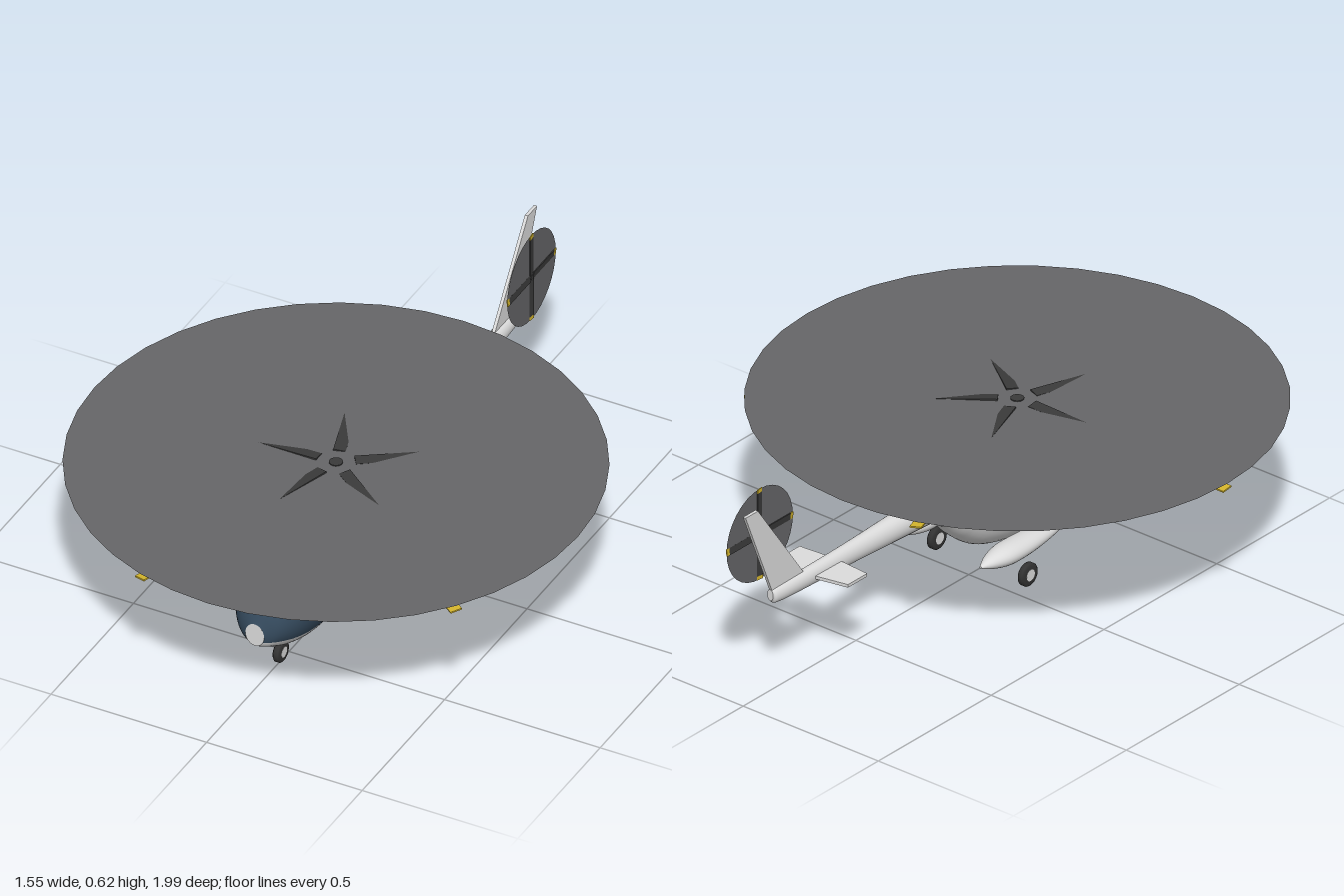
import * as THREE from 'three';
import { ParametricGeometry } from 'three/addons/geometries/ParametricGeometry.js';

const mat = (name, color, side = THREE.FrontSide) => {
  const m = new THREE.MeshStandardMaterial({ color, side });
  m.name = name;
  return m;
};

export function createModel() {
  const model = new THREE.Group();
  model.name = 'helicopter';
  const white = mat('white paint', 0xdcdcdc);
  const glass = mat('dark blue glass', 0x34495c, THREE.DoubleSide);
  const blur = mat('rotor disc grey', 0x666668, THREE.DoubleSide);
  const dark = mat('blade charcoal', 0x3a3a3a);
  const rubber = mat('tyre rubber', 0x333333);
  const yellow = mat('tip yellow', 0xd4b52c);

  const add = (name, geometry, material, parent = model) => {
    const mesh = new THREE.Mesh(geometry, material);
    mesh.name = name;
    parent.add(mesh);
    return mesh;
  };

  // Elliptical hull through stations [z, centreY, halfWidth, halfHeight], back to front.
  const hull = (stations) => {
    const curve = (f) => new THREE.CatmullRomCurve3(stations.map(f), false, 'catmullrom', 0.5);
    const axis = curve(([z, y, w]) => new THREE.Vector3(w, y, z));
    const heights = curve(([z, , , h]) => new THREE.Vector3(h, 0, z));
    const last = stations.length - 1;
    const patch = (from, to, a0, a1, slices, stacks) => new ParametricGeometry((u, v, out) => {
      const t = (from + (to - from) * v) / last;
      const p = axis.getPoint(t), h = heights.getPoint(t).x;
      const a = a0 + (a1 - a0) * u;
      out.set(p.x * Math.cos(a), p.y + h * Math.sin(a), p.z);
    }, slices, stacks);
    const cap = (i) => {
      const [z, y, w, h] = stations[i];
      const g = new THREE.CircleGeometry(1, 32);
      if (i === 0) g.rotateY(Math.PI);
      return g.scale(w, h, 1).translate(0, y, z);
    };
    return { patch, last, cap };
  };
  const closedHull = (name, stations, parent = model) => {
    const group = new THREE.Group();
    group.name = name;
    const h = hull(stations);
    add(name + 'Skin', h.patch(0, h.last, 0, Math.PI * 2, 32, h.last * 4), white, group);
    add(name + 'Back', h.cap(0), white, group);
    add(name + 'Front', h.cap(h.last), white, group);
    parent.add(group);
    return group;
  };

  // Fuselage, with the nose split into windscreen and belly
  const body = hull([
    [-0.13, 0.287, 0.065, 0.072], [-0.08, 0.27, 0.09, 0.11], [0, 0.254, 0.115, 0.15],
    [0.12, 0.244, 0.135, 0.168], [0.28, 0.2415, 0.14, 0.1715], [0.44, 0.24, 0.14, 0.167],
    [0.54, 0.232, 0.13, 0.151], [0.62, 0.222, 0.108, 0.117], [0.68, 0.207, 0.07, 0.072],
    [0.708, 0.19, 0.03, 0.037],
  ]);
  const sill = -0.59;
  add('cabin', body.patch(0, 5, 0, Math.PI * 2, 40, 20), white);
  add('windscreen', body.patch(5, 9, sill, Math.PI - sill, 32, 16), glass);
  add('noseBelly', body.patch(5, 9, -Math.PI - sill, sill, 16, 16), white);
  add('noseCap', body.cap(9), white);
  add('cabinBack', body.cap(0), white);

  // Side windows follow the curve of the cabin wall
  for (const s of [1, -1]) {
    add(s > 0 ? 'leftWindow' : 'rightWindow', new ParametricGeometry((u, v, out) => {
      const a = s > 0 ? u : 1 - u;
      const y = 0.22 + 0.13 * a;
      const x = 0.14 * Math.sqrt(1 - ((y - 0.2415) / 0.1715) ** 2) + 0.003;
      out.set(s * x, y, 0.26 + 0.125 * v);
    }, 8, 4), glass);
  }

  // Engine cowling and tail boom
  closedHull('engineCowling', [
    [-0.168, 0.381, 0.045, 0.015], [-0.12, 0.388, 0.068, 0.029], [0, 0.396, 0.082, 0.04],
    [0.12, 0.398, 0.082, 0.042], [0.22, 0.395, 0.074, 0.038], [0.31, 0.39, 0.045, 0.024],
    [0.36, 0.388, 0.01, 0.006],
  ]);
  closedHull('tailBoom', [
    [-0.88, 0.309, 0.011, 0.018], [-0.835, 0.302, 0.02, 0.026], [-0.55, 0.298, 0.025, 0.033],
    [-0.3, 0.296, 0.036, 0.042], [-0.1, 0.295, 0.048, 0.049],
  ]);

  // Swept fin, drawn as (-z, y)
  const plate = (points, depth) => {
    const shape = new THREE.Shape(points.map(([x, y]) => new THREE.Vector2(x, y)));
    return new THREE.ExtrudeGeometry(shape, { depth, bevelEnabled: false }).translate(0, 0, -depth / 2);
  };
  add('tailFin', plate([[0.73, 0.315], [0.87, 0.305], [0.995, 0.61], [0.94, 0.61]], 0.01)
    .rotateY(Math.PI / 2), white);

  // Tailplane, drawn as (x, -z)
  add('tailplane', plate([[-0.125, 0.6], [0, 0.59], [0.125, 0.6], [0.125, 0.685], [0, 0.71], [-0.125, 0.685]], 0.01)
    .rotateX(-Math.PI / 2).translate(0, 0.3, 0), white);

  // Side pods
  for (const s of [1, -1]) {
    const pod = closedHull(s > 0 ? 'leftPod' : 'rightPod', [
      [-0.132, 0.134, 0.004, 0.003], [-0.09, 0.134, 0.026, 0.02], [-0.03, 0.133, 0.042, 0.031],
      [0.05, 0.133, 0.043, 0.03], [0.14, 0.134, 0.034, 0.023], [0.2, 0.135, 0.022, 0.016],
      [0.226, 0.136, 0.01, 0.008],
    ]);
    pod.position.x = s * 0.154;
  }

  // Wheels with pale hubs
  const wheel = (name, x, z, r) => {
    const group = new THREE.Group();
    group.name = name;
    const w = 0.011;
    const profile = [[0.45, -w], [0.85, -w], [1, -w * 0.6], [1, w * 0.6], [0.85, w], [0.45, w]]
      .map(([k, y]) => new THREE.Vector2(k * r, y));
    add('tyre', new THREE.LatheGeometry(profile, 24).rotateZ(Math.PI / 2), rubber, group);
    add('wheelHub', new THREE.CylinderGeometry(r * 0.5, r * 0.5, w * 2.1, 20).rotateZ(Math.PI / 2), white, group);
    group.position.set(x, r, z);
    model.add(group);
  };
  wheel('noseWheel', 0, 0.55, 0.034);
  wheel('leftWheel', 0.168, 0.06, 0.036);
  wheel('rightWheel', -0.168, 0.06, 0.036);

  // Rotor: spinning disc, hub and yellow-tipped blades
  const rotor = (name, o) => {
    const group = new THREE.Group();
    group.name = name;
    add('spinDisc', new THREE.CircleGeometry(o.radius, o.sides).rotateX(-Math.PI / 2), blur, group);
    add('rotorHub', new THREE.CylinderGeometry(o.hub, o.hub, o.hubHeight, 16)
      .translate(0, 0.003 - o.hubHeight / 2, 0), dark, group);
    const end = o.radius - o.tip;
    for (let i = 0; i < o.blades; i++) {
      const blade = new THREE.Group();
      blade.name = 'blade' + (i + 1);
      add('bladeSpar', new THREE.BoxGeometry(end - o.root, o.thick, o.chord)
        .translate((end + o.root) / 2, 0, 0), dark, blade);
      add('bladeTip', new THREE.BoxGeometry(o.tip, o.thick, o.chord)
        .translate(end + o.tip / 2, 0, 0), yellow, blade);
      blade.rotation.set(o.pitch, Math.PI + i * Math.PI * 2 / o.blades, -o.droop, 'YZX');
      blade.position.y = o.lift;
      group.add(blade);
    }
    model.add(group);
    return group;
  };
  rotor('mainRotor', {
    radius: 0.777, sides: 40, hub: 0.02, hubHeight: 0.024, blades: 5, root: 0.055,
    tip: 0.052, chord: 0.036, thick: 0.005, pitch: 0.1, droop: 0.026, lift: 0.002,
  }).position.set(0, 0.481, 0.215);
  const tail = rotor('tailRotor', {
    radius: 0.147, sides: 32, hub: 0.008, hubHeight: 0.008, blades: 4, root: 0.01,
    tip: 0.012, chord: 0.022, thick: 0.003, pitch: 0.12, droop: 0, lift: 0,
  });
  tail.rotation.z = -Math.PI / 2;
  tail.position.set(0.064, 0.473, -0.85);

  // Slim shafts carrying the two rotors
  add('mast', new THREE.CylinderGeometry(0.006, 0.006, 0.06, 12).translate(0, 0.445, 0.215), dark);
  add('tailShaft', new THREE.CylinderGeometry(0.004, 0.004, 0.064, 10)
    .rotateZ(Math.PI / 2).translate(0.032, 0.473, -0.85), dark);

  return model;
}
